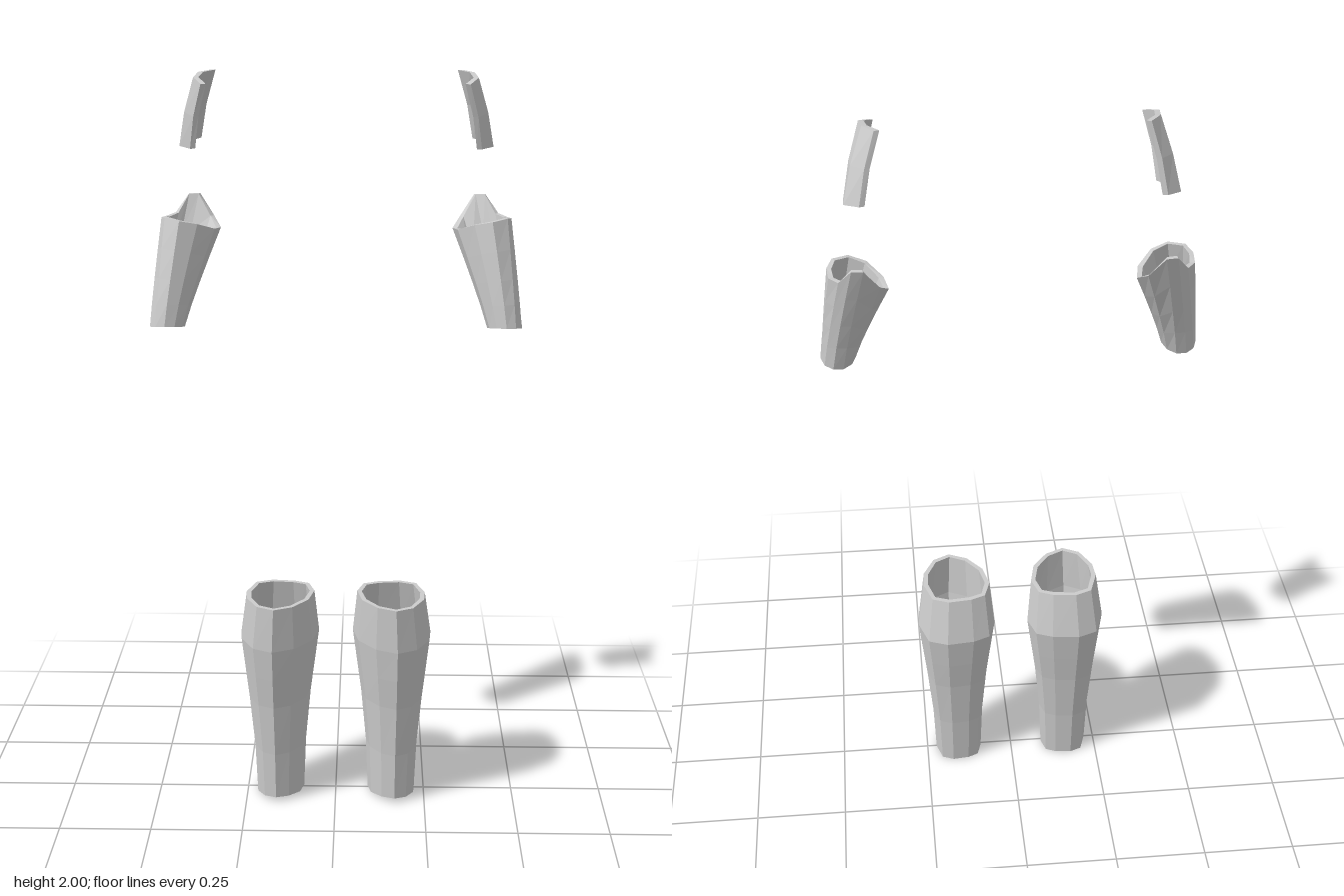
import * as THREE from 'three';

const WALL = 0.013;
const material = new THREE.MeshStandardMaterial({ color: 0xcccccc, flatShading: true, side: THREE.DoubleSide });
const lerp = THREE.MathUtils.lerp;

// Skin a stack of closed rings; side -1 mirrors the part to the other half of the body
function loft(name, rows, side) {
  const rings = rows.map(r => {
    const ring = r.map(p => [p[0] * side, p[1], p[2]]);
    return side < 0 ? ring.reverse() : ring;
  });
  const n = rings[0].length, index = [];
  for (let i = 0; i < rings.length - 1; i++) {
    for (let j = 0; j < n; j++) {
      const a = i * n + j, b = i * n + (j + 1) % n;
      index.push(a, b, b + n, a, b + n, a + n);
    }
  }
  const geometry = new THREE.BufferGeometry();
  geometry.setAttribute('position', new THREE.Float32BufferAttribute(rings.flat(2), 3));
  geometry.setIndex(index);
  geometry.computeVertexNormals();
  const mesh = new THREE.Mesh(geometry, material);
  mesh.name = name;
  return mesh;
}

// Pull a ring horizontally toward its centre by the wall thickness
function inset(ring) {
  const cx = ring.reduce((s, p) => s + p[0], 0) / ring.length;
  const cz = ring.reduce((s, p) => s + p[2], 0) / ring.length;
  return ring.map(([x, y, z]) => {
    const k = 1 - WALL / Math.hypot(x - cx, z - cz);
    return [cx + (x - cx) * k, y, cz + (z - cz) * k];
  });
}

// Outside, top rim, inside and bottom rim of an open sleeve
const sleeve = rows => [...rows, ...rows.map(inset).reverse(), rows[0]];

// Shin guard: ridged at the front, flatter over the calf
const shinOutline = [
  [0.14, 1], [0.63, 0.79], [0.96, 0.24], [1, -0.22], [0.76, -0.84], [0.28, -1],
  [-0.4, -0.94], [-0.82, -0.79], [-1, -0.3], [-0.85, 0.3], [-0.4, 0.79],
];
// y, centre x, half width, centre z, half depth
const shinSections = [
  [0, 0.157, 0.066, 0.016, 0.079],
  [0.15, 0.157, 0.072, 0.016, 0.086],
  [0.3, 0.157, 0.086, 0.017, 0.1],
  [0.39, 0.156, 0.097, 0.018, 0.114],
  [0.48, 0.155, 0.108, 0.019, 0.126],
  [0.605, 0.152, 0.093, 0.037, 0.111],
];
function shinGuard(side) {
  const rows = shinSections.map(([y, cx, w, cz, d]) => shinOutline.map(([u, v]) =>
    [cx + u * w, y || 0.015 * Math.max(0, v), cz + v * d]));
  return loft('shinGuard', sleeve(rows), side);
}

// Forearm guard: slanted sleeve whose upper rim rises to an elbow tab at the back
const forearmRim = [
  [0.4, 1.63, 0.037], [0.44, 1.635, 0.01], [0.453, 1.63, -0.03], [0.449, 1.625, -0.075],
  [0.425, 1.63, -0.112], [0.392, 1.675, -0.146], [0.363, 1.675, -0.15], [0.325, 1.62, -0.125],
  [0.304, 1.595, -0.085], [0.315, 1.6, -0.03], [0.355, 1.62, 0.02],
];
function forearmGuard(side) {
  const rows = [0, 0.22, 0.45, 0.72, 1].map(t => forearmRim.map(([x, y, z], i) => {
    const a = i / forearmRim.length * Math.PI * 2, s = Math.pow(t, 1.1);
    return [
      lerp(0.44 + 0.046 * Math.sin(a), x, s),
      lerp(1.353 + 0.011 * Math.cos(a), y, t),
      lerp(0.027 + 0.058 * Math.cos(a), z, s),
    ];
  }));
  return loft('forearmGuard', sleeve(rows), side);
}

// Upper arm plate: thin curved shield on the outside of the arm
const plateBottom = [[0.37, 1.81, 0.008], [0.402, 1.812, -0.035], [0.402, 1.818, -0.08], [0.365, 1.825, -0.112]];
const plateTop = [[0.335, 1.975, 0.053], [0.357, 1.988, 0.015], [0.35, 1.997, -0.04], [0.322, 2, -0.082]];
function upperArmPlate(side) {
  const rows = [0, 0.5, 1].map(t => {
    const outer = plateBottom.map((p, i) => p.map((v, k) =>
      lerp(v, plateTop[i][k], t) + (k === 0 ? 0.02 * t * (1 - t) : 0)));
    const inner = outer.map(([x, y, z]) => [x - WALL, y, z * 0.96 - 0.001]).reverse();
    return [...outer, ...inner];
  });
  // Close each end by folding the ring onto its own midline
  const fold = r => r.map((p, i) => p.map((v, k) => (v + r[r.length - 1 - i][k]) / 2));
  return loft('upperArmPlate', [fold(rows[0]), ...rows, fold(rows[2])], side);
}

export function createModel() {
  const model = new THREE.Group();
  model.name = 'limbArmour';
  for (const [label, side] of [['left', 1], ['right', -1]]) {
    const half = new THREE.Group();
    half.name = label + 'Side';
    half.add(shinGuard(side), forearmGuard(side), upperArmPlate(side));
    model.add(half);
  }
  return model;
}
